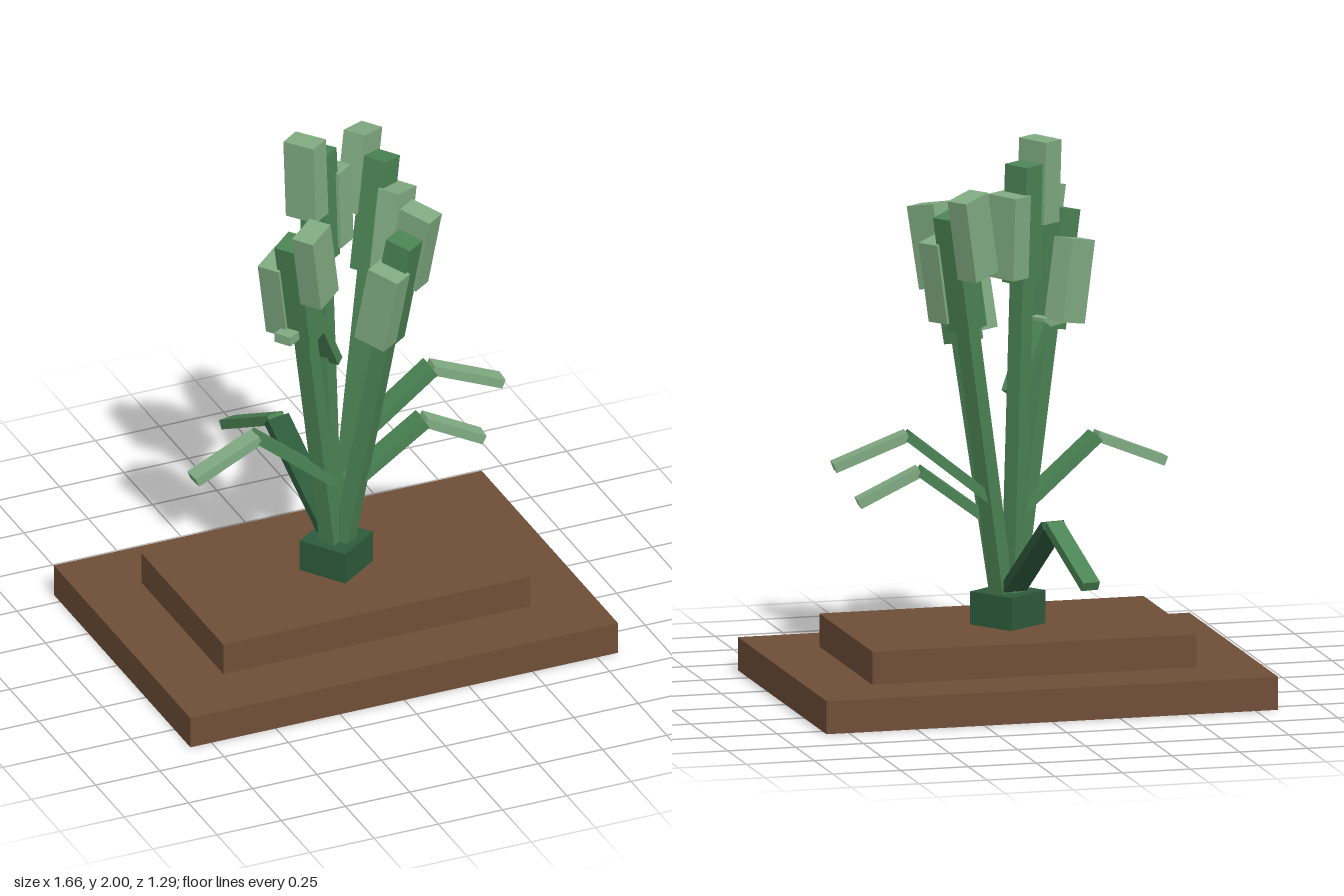
import * as THREE from 'three';

const mat = (name, color) => {
  const m = new THREE.MeshStandardMaterial({ color });
  m.name = name;
  return m;
};

export function createModel() {
  const soil = mat('soil brown', 0x6f4e37);
  const dark = mat('dark green', 0x2d5a3b);
  const mid = mat('stem green', 0x4b8454);
  const light = mat('bud green', 0x80ab82);

  const model = new THREE.Group();
  model.name = 'pottedPlant';

  // Box standing on y, centred on x and z
  const box = (parent, name, material, w, h, d, x, y, z) => {
    const mesh = new THREE.Mesh(new THREE.BoxGeometry(w, h, d), material);
    mesh.position.set(x, y + h / 2, z);
    mesh.name = name;
    parent.add(mesh);
  };

  // Flat bar running from a to b, its wide side kept level
  const bar = (parent, name, material, a, b, width, thick) => {
    const from = new THREE.Vector3(...a), to = new THREE.Vector3(...b);
    const dir = to.clone().sub(from);
    const mesh = new THREE.Mesh(new THREE.BoxGeometry(width, thick, dir.length()), material);
    dir.normalize();
    const side = new THREE.Vector3(0, 1, 0).cross(dir).normalize();
    const up = dir.clone().cross(side);
    mesh.quaternion.setFromRotationMatrix(new THREE.Matrix4().makeBasis(side, up, dir));
    mesh.position.copy(from).add(to).multiplyScalar(0.5);
    mesh.name = name;
    parent.add(mesh);
  };

  // Stepped base
  box(model, 'lowerBase', soil, 1.665, 0.12, 1.195, 0, 0, 0.043);
  box(model, 'upperBase', soil, 1.195, 0.12, 0.715, 0, 0.12, 0.043);

  // Plant, turned on the base
  const plant = new THREE.Group();
  plant.name = 'plant';
  plant.position.set(0, 0, 0.045);
  plant.rotation.y = THREE.MathUtils.degToRad(35);
  model.add(plant);
  box(plant, 'crown', dark, 0.19, 0.12, 0.19, 0, 0.24, 0);

  // Four leaning stalks: [turn in quarter circles, lean in degrees, top of core]
  const stalks = [[0, 11, 1.66], [1, 11, 1.77], [2, 2, 1.918], [3, 11, 1.705]];
  for (const [turn, lean, top] of stalks) {
    const around = new THREE.Group();
    around.name = 'flowerStalk';
    around.rotation.y = turn * Math.PI / 2;
    plant.add(around);
    const stalk = new THREE.Group();
    stalk.name = 'leaningStalk';
    stalk.position.set(0, 0.3, 0.022);
    stalk.rotation.x = THREE.MathUtils.degToRad(lean);
    around.add(stalk);
    const len = (top - 0.3) / Math.cos(stalk.rotation.x);
    box(stalk, 'stem', mid, 0.06, len - 0.4, 0.06, 0, 0, 0);
    box(stalk, 'budCore', mid, 0.1, 0.43, 0.1, 0, len - 0.43, 0);
    box(stalk, 'highBud', light, 0.086, 0.3, 0.125, 0.083, len - 0.22, 0);
    box(stalk, 'lowBud', light, 0.086, 0.3, 0.125, -0.08, len - 0.4, 0);
  }

  // Bent leaves: [start, elbow, tip, inner colour, outer colour]
  const leaves = [
    [[-0.05, 0.64, 0.10], [-0.345, 0.89, 0.125], [-0.6, 0.785, 0.143], mid, light],
    [[0.08, 0.71, 0.0], [0.38, 0.95, 0.015], [0.645, 0.845, 0.036], mid, light],
    [[0.03, 0.59, 0.08], [0.31, 0.80, 0.105], [0.53, 0.69, 0.127], mid, light],
    [[-0.01, 0.38, 0.0], [-0.068, 0.665, -0.325], [-0.12, 0.5, -0.632], dark, mid],
    [[-0.016, 1.08, 0.02], [-0.125, 1.315, 0.105], [-0.285, 1.32, 0.215], mid, light],
  ];
  for (const [start, elbow, tip, inner, outer] of leaves) {
    const leaf = new THREE.Group();
    leaf.name = 'leaf';
    model.add(leaf);
    bar(leaf, 'innerLeaf', inner, start, elbow, 0.09, 0.035);
    bar(leaf, 'outerLeaf', outer, elbow, tip, 0.066, 0.035);
  }
  return model;
}
